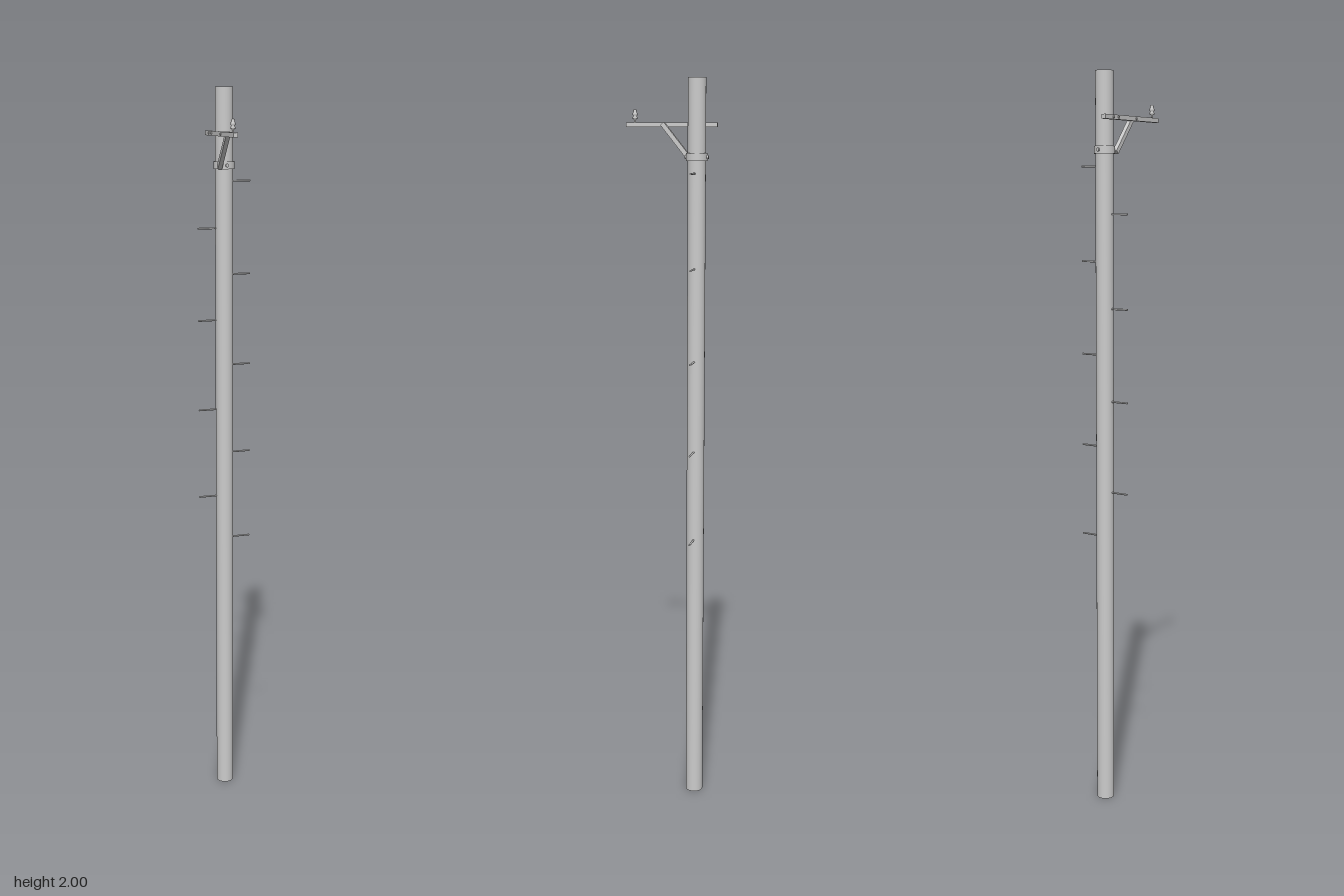
import * as THREE from 'three';

const material = new THREE.MeshStandardMaterial({ color: 0xcccccc });
const POLE_Z = -0.077;
const POLE_R = 0.024;

export function createModel() {
  const model = new THREE.Group();
  model.name = 'utilityPole';

  function add(name, geometry, x, y, z, parent = model) {
    const mesh = new THREE.Mesh(geometry, material);
    mesh.name = name;
    mesh.position.set(x, y, z);
    parent.add(mesh);
    return mesh;
  }

  // Round rod lying along x
  function rodX(name, radius, length, x, y, z, sides = 8) {
    const rod = add(name, new THREE.CylinderGeometry(radius, radius, length, sides), x, y, z);
    rod.rotation.z = Math.PI / 2;
    return rod;
  }

  // Pole shaft
  add('pole', new THREE.CylinderGeometry(POLE_R, POLE_R, 2, 24), 0, 1, POLE_Z);

  // Climbing steps, alternating from side to side
  for (let i = 0; i < 9; i++) {
    const side = i % 2 === 0 ? 1 : -1;
    rodX('climbingStep', 0.0025, 0.054, side * 0.047, 0.755 + i * 0.125, POLE_Z);
  }

  // Clamp band with its bolts
  add('clampBand', new THREE.CylinderGeometry(0.028, 0.028, 0.02, 24), 0, 1.797, POLE_Z);
  for (const dir of [-1, 1]) {
    const bolt = add('clampBolt', new THREE.CylinderGeometry(0.005, 0.005, 0.006, 6),
      0, 1.797, POLE_Z + dir * 0.029);
    bolt.rotation.x = Math.PI / 2;
  }

  // Side-mounted crossarm
  add('crossarm', new THREE.BoxGeometry(0.012, 0.012, 0.249), -0.032, 1.88, -0.0015);

  // Diagonal brace from the clamp up to the crossarm
  const low = new THREE.Vector3(-0.02, 1.791, -0.054);
  const high = new THREE.Vector3(-0.02, 1.883, 0.021);
  const span = high.clone().sub(low);
  const middle = low.clone().add(high).multiplyScalar(0.5);
  const brace = add('brace', new THREE.BoxGeometry(0.012, 0.012, span.length()), ...middle.toArray());
  brace.rotation.x = -Math.atan2(span.y, span.z);

  // Bolts through the crossarm into the pole and the brace
  for (const z of [-0.089, -0.066, 0.016]) {
    rodX('crossarmBolt', 0.0035, 0.026, -0.0275, 1.88, z, 6);
  }

  // Pin insulator with flared skirts
  const profile = [
    [0, 0], [0.003, 0], [0.003, 0.009], [0.0065, 0.01], [0.0065, 0.014],
    [0.0045, 0.018], [0.0065, 0.02], [0.0065, 0.025], [0.004, 0.029],
    [0.005, 0.032], [0.003, 0.035], [0, 0.035],
  ].map(([r, y]) => new THREE.Vector2(r, y));
  add('insulator', new THREE.LatheGeometry(profile, 16), -0.032, 1.885, 0.099);

  return model;
}
